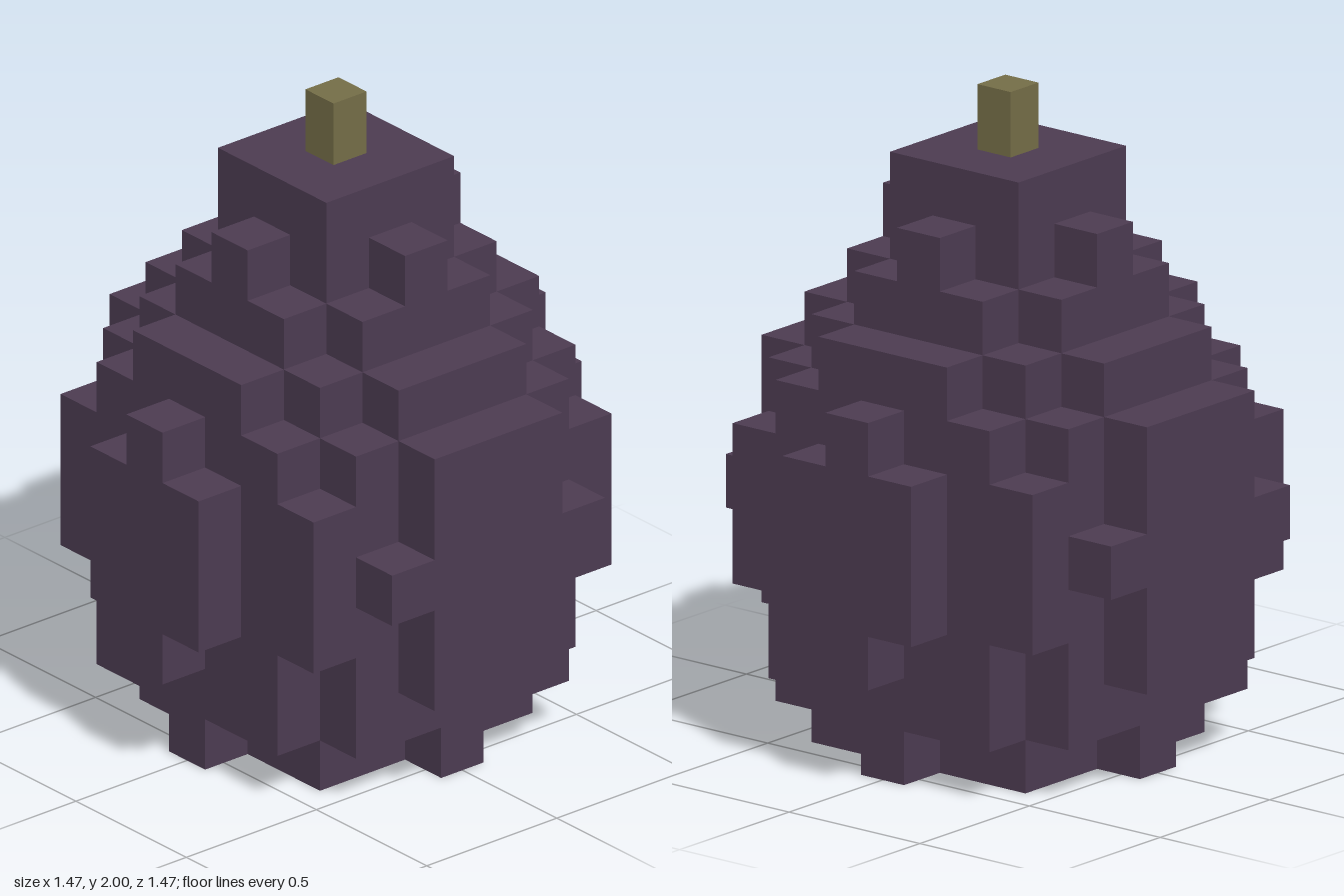
import * as THREE from 'three';

const CELL = 1.8 / 11;

// Each layer, bottom to top: cells reached sideways from the centre for rows z = 0, 1, 2...
const LAYERS = [
  [3, 2, 2, 0],
  [3, 3, 3, 2],
  [4, 4, 3, 2, 0],
  [4, 4, 3, 3, 1],
  [4, 4, 4, 3, 1],
  [4, 4, 3, 3, 1],
  [4, 4, 3, 2, 0],
  [3, 3, 2, 1],
  [2, 2, 1],
  [2, 1, 0],
  [1, 1],
];

// Stepped outline: one quadrant's corners, mirrored into the other three
function layerShape(rows) {
  const last = rows.length - 1;
  const quad = [[rows[last] + 0.5, last + 0.5]];
  for (let z = last - 1; z >= 0; z--) {
    if (rows[z] === rows[z + 1]) continue;
    quad.push([rows[z + 1] + 0.5, z + 0.5], [rows[z] + 0.5, z + 0.5]);
  }
  const back = [...quad].reverse();
  const outline = [
    ...quad,
    ...back.map(([x, y]) => [x, -y]),
    ...quad.map(([x, y]) => [-x, -y]),
    ...back.map(([x, y]) => [-x, y]),
  ];
  return new THREE.Shape(outline.map(([x, y]) => new THREE.Vector2(x * CELL, y * CELL)));
}

export function createModel() {
  const model = new THREE.Group();
  model.name = 'blockFruit';

  const skin = new THREE.MeshStandardMaterial({ color: 0x4c3b51 });
  skin.name = 'dark plum skin';
  const wood = new THREE.MeshStandardMaterial({ color: 0x746d47 });
  wood.name = 'olive stem';

  // Body: stacked stepped slabs
  const body = new THREE.Group();
  body.name = 'body';
  LAYERS.forEach((rows, i) => {
    const geometry = new THREE.ExtrudeGeometry(layerShape(rows), { depth: CELL, bevelEnabled: false });
    geometry.rotateX(-Math.PI / 2);
    const slab = new THREE.Mesh(geometry, skin);
    slab.name = `bodyLayer${i + 1}`;
    slab.position.y = i * CELL;
    body.add(slab);
  });
  model.add(body);

  // Stem
  const stem = new THREE.Mesh(new THREE.BoxGeometry(0.127, 0.2, 0.127), wood);
  stem.name = 'stem';
  stem.position.y = 1.9;
  model.add(stem);

  return model;
}
